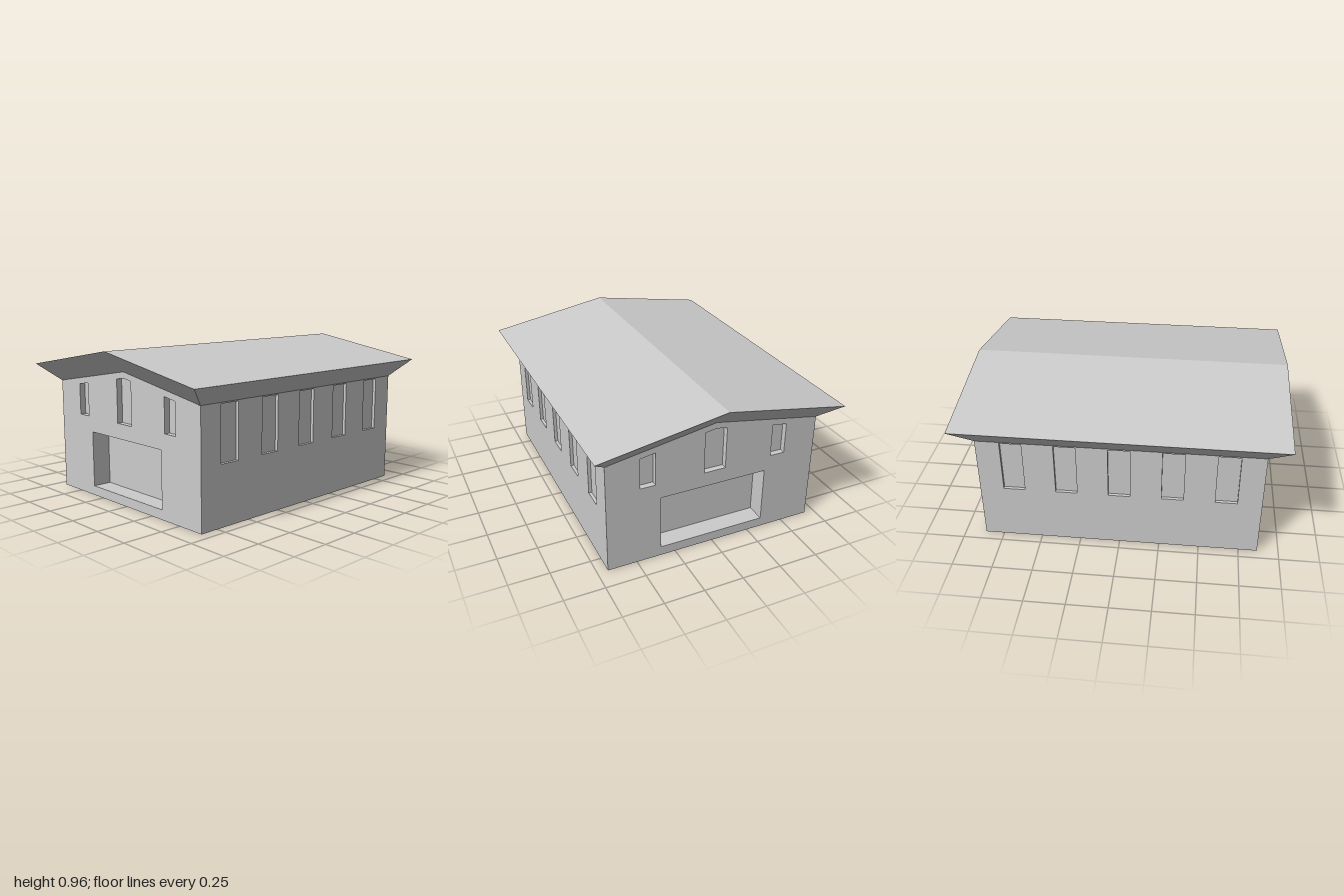
import * as THREE from 'three';

const HX = 0.868, HZ = 0.685, EAVE = 0.713, RIDGE = 0.83; // wall half sizes and heights
const SIDE_DEPTH = 0.02, WINDOW_DEPTH = 0.037, DOOR_DEPTH = 0.12;
const wallTop = (z) => RIDGE - (RIDGE - EAVE) * Math.abs(z) / HZ;

const material = new THREE.MeshStandardMaterial({ color: 0xcccccc, flatShading: true });

const polygon = (Type, pts) => new Type(pts.map(([x, y]) => new THREE.Vector2(x, y)));
const rect = (x0, x1, y0, y1) => [[x0, y0], [x1, y0], [x1, y1], [x0, y1]];

function panel(name, outline, holes, depth) {
  const shape = polygon(THREE.Shape, outline);
  holes.forEach((h) => shape.holes.push(polygon(THREE.Path, h)));
  const mesh = new THREE.Mesh(new THREE.ExtrudeGeometry(shape, { depth, bevelEnabled: false }), material);
  mesh.name = name;
  return mesh;
}

// Flared gable roof: a lower ring on the walls joined to a wider upper ring
function createRoof() {
  const ring = (x, z, eave, ridge) => [
    [x, eave, z], [x, ridge, 0], [x, eave, -z], [-x, eave, -z], [-x, ridge, 0], [-x, eave, z]];
  const pts = [...ring(HX, HZ, EAVE, RIDGE), ...ring(1, 0.785, 0.825, 0.96)];
  const index = [];
  const quad = (a, b, c, d) => index.push(a, b, c, a, c, d);
  for (let i = 0; i < 6; i++) {
    const j = (i + 1) % 6;
    quad(i, j, j + 6, i + 6);
  }
  quad(6, 7, 10, 11); // front slope
  quad(7, 8, 9, 10); // back slope
  quad(0, 5, 4, 1); // underside, front half
  quad(1, 4, 3, 2); // underside, back half
  const indexed = new THREE.BufferGeometry();
  indexed.setAttribute('position', new THREE.Float32BufferAttribute(pts.flat(), 3));
  indexed.setIndex(index);
  const geometry = indexed.toNonIndexed();
  geometry.computeVertexNormals();
  const roof = new THREE.Mesh(geometry, material);
  roof.name = 'roof';
  return roof;
}

export function createModel() {
  const model = new THREE.Group();
  model.name = 'gabledHall';

  // Pentagonal house section, used by the core and the end walls
  const w = HZ - SIDE_DEPTH;
  const section = [[-w, 0], [w, 0], [w, wallTop(w)], [0, RIDGE], [-w, wallTop(w)]];

  const coreHalf = HX - DOOR_DEPTH;
  const core = panel('core', section, [], coreHalf * 2);
  core.rotation.y = Math.PI / 2;
  core.position.x = -coreHalf;
  model.add(core);

  // Openings in the end walls
  const door = rect(-0.345, 0.345, 0.06, 0.415);
  const middleWindow = [[-0.07, 0.51], [0.07, 0.51], [0.07, 0.78], [0, 0.792], [-0.07, 0.78]];
  const sideWindows = [-1, 1].map((s) =>
    [[s * 0.38, 0.513], [s * 0.475, 0.513], [s * 0.475, 0.71], [s * 0.38, 0.726]]);

  // Openings in the long walls
  const longWindows = [-2, -1, 0, 1, 2].map((i) =>
    rect(i * 0.326 - 0.067, i * 0.326 + 0.067, 0.367, 0.705));

  for (const [side, turn] of [['right', Math.PI / 2], ['left', -Math.PI / 2]]) {
    const end = new THREE.Group();
    end.name = side + 'EndWall';
    const inner = panel('doorRecess', section, [door], DOOR_DEPTH - WINDOW_DEPTH);
    inner.position.z = coreHalf;
    const outer = panel('windowLayer', section, [door, middleWindow, ...sideWindows], WINDOW_DEPTH);
    outer.position.z = HX - WINDOW_DEPTH;
    end.add(inner, outer);
    end.rotation.y = turn;
    model.add(end);
  }

  for (const [side, turn] of [['front', 0], ['back', Math.PI]]) {
    const wall = new THREE.Group();
    wall.name = side + 'Wall';
    const face = panel('windowLayer', rect(-HX, HX, 0, EAVE), longWindows, SIDE_DEPTH);
    face.position.z = w;
    wall.add(face);
    wall.rotation.y = turn;
    model.add(wall);
  }

  model.add(createRoof());
  return model;
}
